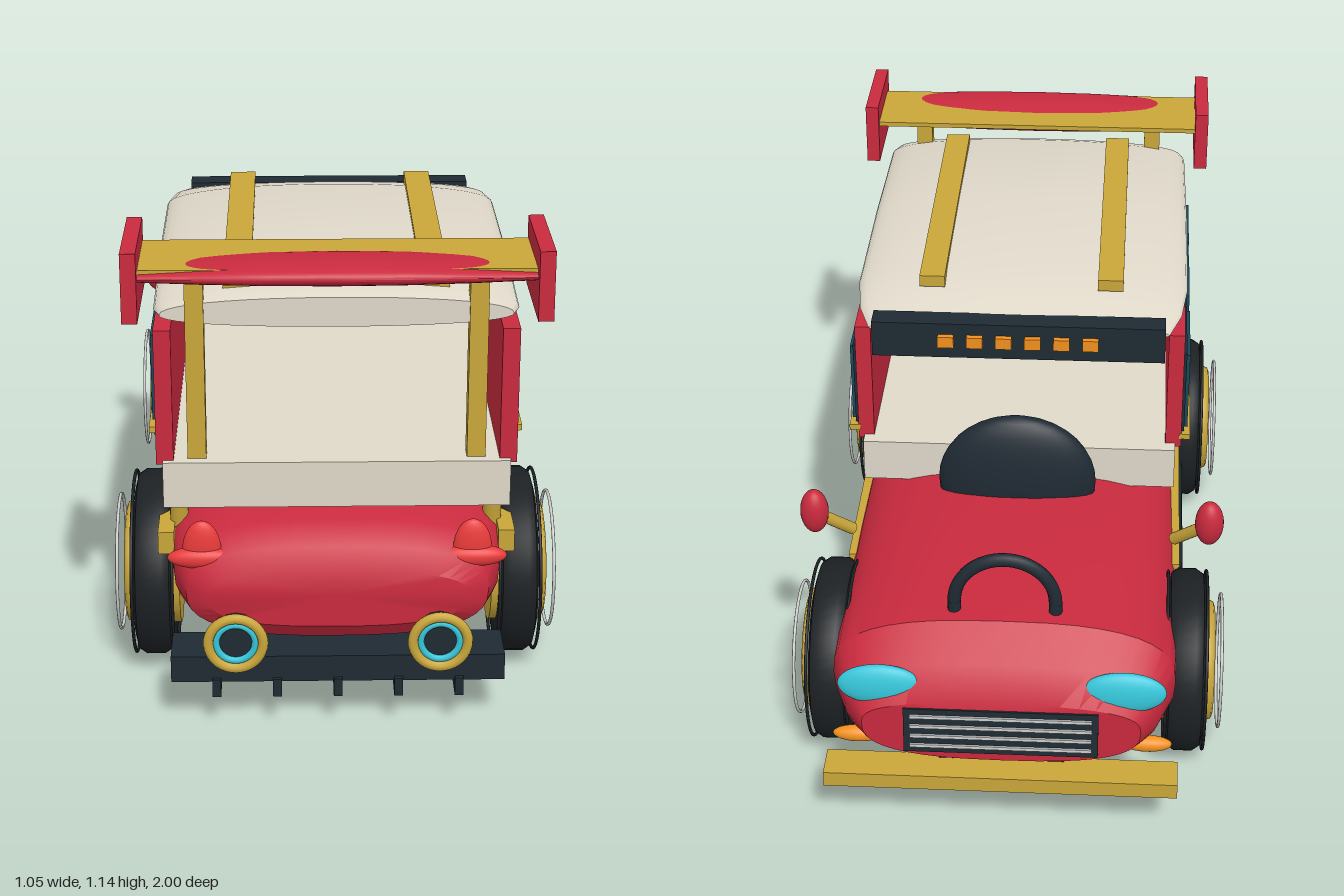
import * as THREE from 'three';
import { toCreasedNormals } from 'three/addons/utils/BufferGeometryUtils.js';

const mat = (color) => new THREE.MeshStandardMaterial({ color });
const RED = mat(0xc92a3e), GOLD = mat(0xc9a63a), DARK = mat(0x1f2a33), CREAM = mat(0xe0d9ca);
const GLASS = mat(0x17485c), CYAN = mat(0x35c5d8), LAMP = mat(0xe83a3a), AMBER = mat(0xf2901e);
const TYRE = mat(0x1d2124), SILVER = mat(0xcccccc);

// Closed loft along z (from high z to low z); each section: [z, halfWidth, yBottom, yMiddle, yTop]
function loft(sections, power, n = 40) {
  const pos = [], idx = [];
  const bend = (v) => Math.sign(v) * Math.abs(v) ** (2 / power);
  for (const [z, w, y0, ym, y1] of sections) {
    for (let j = 0; j < n; j++) {
      const a = (j / n) * Math.PI * 2, s = bend(Math.sin(a));
      pos.push(w * bend(Math.cos(a)), ym + s * (s > 0 ? y1 - ym : ym - y0), z);
    }
  }
  const last = sections.length - 1, c0 = pos.length / 3, c1 = c0 + 1;
  for (const k of [0, last]) pos.push(0, sections[k][3], sections[k][0]);
  for (let j = 0; j < n; j++) {
    const m = (j + 1) % n;
    for (let i = 0; i < last; i++) {
      const a = i * n + j, b = a + n, c = i * n + m, d = c + n;
      idx.push(a, b, c, c, b, d);
    }
    idx.push(c0, j, m, c1, last * n + m, last * n + j);
  }
  const g = new THREE.BufferGeometry();
  g.setAttribute('position', new THREE.Float32BufferAttribute(pos, 3));
  g.setIndex(idx);
  return toCreasedNormals(g, 0.6);
}

function add(parent, name, geometry, material, x = 0, y = 0, z = 0) {
  const m = new THREE.Mesh(geometry, material);
  m.name = name;
  m.position.set(x, y, z);
  parent.add(m);
  return m;
}

// Box given by its limits
function box(parent, name, material, x0, x1, y0, y1, z0, z1) {
  return add(parent, name, new THREE.BoxGeometry(Math.abs(x1 - x0), y1 - y0, Math.abs(z1 - z0)), material,
    (x0 + x1) / 2, (y0 + y1) / 2, (z0 + z1) / 2);
}

function blob(parent, name, material, x, y, z, rx, ry, rz) {
  return add(parent, name, new THREE.SphereGeometry(1, 28, 18).scale(rx, ry, rz), material, x, y, z);
}

function rod(parent, name, material, a, b, r) {
  const p = new THREE.Vector3(...a), q = new THREE.Vector3(...b), d = q.clone().sub(p);
  const m = add(parent, name, new THREE.CylinderGeometry(r, r, d.length(), 16), material);
  m.position.copy(p.add(q).multiplyScalar(0.5));
  m.quaternion.setFromUnitVectors(new THREE.Vector3(0, 1, 0), d.normalize());
  return m;
}

// Wheel with its axle along local z, outer face towards +z
function makeWheel() {
  const w = new THREE.Group();
  w.name = 'wheel';
  const profile = [[0.15, -0.045], [0.19, -0.047], [0.215, -0.04], [0.227, -0.022], [0.227, 0.022],
    [0.215, 0.04], [0.19, 0.047], [0.15, 0.045], [0.15, -0.045]].map(([x, y]) => new THREE.Vector2(x, y));
  add(w, 'tyre', toCreasedNormals(new THREE.LatheGeometry(profile, 48), 0.7).rotateX(Math.PI / 2), TYRE);
  const disc = (name, m, r, z0, z1) => add(w, name,
    new THREE.CylinderGeometry(r, r, z1 - z0, 40).rotateX(Math.PI / 2), m, 0, 0, (z0 + z1) / 2);
  const ring = (name, m, r, t, z) => add(w, name, new THREE.TorusGeometry(r, t, 8, 48), m, 0, 0, z);
  disc('innerRim', GOLD, 0.15, -0.062, 0.02);
  disc('rimBack', DARK, 0.15, 0.02, 0.046);
  ring('rimRing', GOLD, 0.135, 0.015, 0.056);
  ring('trimRing', SILVER, 0.165, 0.004, 0.086);
  ring('sidewallRing', SILVER, 0.172, 0.004, 0.047);
  for (const z of [-0.048, 0.048]) ring('treadEdge', TYRE, 0.222, 0.004, z);
  disc('hub', GOLD, 0.03, 0.04, 0.074);
  for (let i = 0; i < 8; i++) {
    const a = (i * Math.PI) / 4;
    const s = add(w, 'spoke', new THREE.BoxGeometry(0.12, 0.016, 0.018), GOLD,
      Math.cos(a) * 0.075, Math.sin(a) * 0.075, 0.058);
    s.rotation.z = a;
  }
  return w;
}

export function createModel() {
  const car = new THREE.Group();
  car.name = 'car';

  // Body shell, tail (+z) to nose (-z)
  add(car, 'body', loft([
    [0.94, 0.3, 0.24, 0.32, 0.38], [0.91, 0.35, 0.2, 0.32, 0.43], [0.84, 0.38, 0.185, 0.34, 0.465],
    [0.66, 0.4, 0.18, 0.35, 0.5], [0.2, 0.405, 0.18, 0.35, 0.51], [-0.3, 0.41, 0.18, 0.35, 0.53],
    [-0.6, 0.41, 0.18, 0.35, 0.53], [-0.82, 0.41, 0.175, 0.35, 0.515], [-0.9, 0.375, 0.175, 0.33, 0.445],
    [-0.95, 0.33, 0.2, 0.3, 0.37]], 2.7), RED);

  // Deck, roof and rear wing
  box(car, 'deck', CREAM, -0.4, 0.4, 0.498, 0.61, -0.205, 0.84);
  add(car, 'roof', loft([
    [0.81, 0.4, 0.93, 0.96, 1.0], [0.77, 0.415, 0.92, 0.96, 1.015], [0.4, 0.42, 0.92, 0.965, 1.025],
    [0, 0.42, 0.92, 0.965, 1.02], [-0.12, 0.405, 0.925, 0.955, 0.99], [-0.2, 0.375, 0.93, 0.945, 0.965]], 2.2), CREAM);
  box(car, 'wingTop', GOLD, -0.44, 0.44, 1.085, 1.097, 0.685, 0.9);
  const span = [0.44, 0.3, 0.15, 0, -0.15, -0.3, -0.44].map((x) => {
    const k = 1 - (x / 0.44) ** 2;
    return [x, 0.085 + 0.015 * k, -0.018 - 0.012 * k, 0, 0.014 + 0.018 * k];
  });
  const wing = add(car, 'wingBlade', loft(span, 2).rotateY(Math.PI / 2), RED, 0, 1.075, 0.83);
  wing.rotation.x = -0.07;

  // Light bar under the roof front
  box(car, 'lightBar', DARK, -0.365, 0.365, 0.88, 0.975, -0.225, -0.165);
  for (let i = 0; i < 6; i++) {
    const x = -0.18 + i * 0.072;
    box(car, 'barLight', AMBER, x - 0.02, x + 0.02, 0.915, 0.945, -0.24, -0.222);
  }

  // Windscreen dome and arch on the bonnet
  blob(car, 'windscreenDome', DARK, 0, 0.55, -0.265, 0.2, 0.187, 0.06);
  add(car, 'bonnetArch', new THREE.TorusGeometry(0.12, 0.016, 10, 32, Math.PI), DARK, 0, 0.54, -0.775);
  for (const s of [-1, 1]) rod(car, 'archFoot', DARK, [s * 0.12, 0.48, -0.775], [s * 0.12, 0.54, -0.775], 0.016);

  // Nose: grille and bumper
  const grille = new THREE.Group();
  grille.name = 'grille';
  grille.position.set(0, 0.29, -0.95);
  grille.rotation.x = 0.08;
  box(grille, 'grillePanel', DARK, -0.23, 0.23, -0.06, 0.06, -0.01, 0.02);
  for (let i = 0; i < 4; i++) {
    const y = -0.04 + i * 0.027;
    box(grille, 'grilleBar', SILVER, -0.215, 0.215, y - 0.004, y + 0.004, -0.016, -0.006);
  }
  car.add(grille);
  box(car, 'frontBumper', GOLD, -0.42, 0.42, 0.145, 0.185, -1, -0.915);
  box(car, 'bumperMount', DARK, -0.15, 0.15, 0.16, 0.2, -0.93, -0.85);

  // Rear diffuser
  box(car, 'rearBumper', DARK, -0.385, 0.385, 0.12, 0.185, 0.86, 0.98);
  for (let i = -2; i <= 2; i++) box(car, 'diffuserFin', DARK, i * 0.14 - 0.01, i * 0.14 + 0.01, 0.085, 0.13, 0.87, 0.99);

  // Parts mirrored left and right
  for (const s of [-1, 1]) {
    for (const z of [-0.575, 0.57]) {
      const wheel = makeWheel();
      wheel.position.set(s * 0.437, 0.23, z);
      wheel.rotation.y = (s * Math.PI) / 2;
      car.add(wheel);
      rod(car, 'axle', DARK, [s * 0.2, 0.23, z], [s * 0.4, 0.23, z], 0.03);
    }
    box(car, 'sidePanel', RED, s * 0.375, s * 0.415, 0.6, 0.928, -0.17, 0.825);
    for (const z of [-0.043, 0.265, 0.568]) {
      box(car, 'windowFrame', DARK, s * 0.41, s * 0.422, 0.645, 0.873, z - 0.122, z + 0.122);
      box(car, 'window', GLASS, s * 0.41, s * 0.43, 0.653, 0.865, z - 0.114, z + 0.114);
      box(car, 'windowSill', GOLD, s * 0.41, s * 0.438, 0.625, 0.64, z - 0.13, z + 0.13);
    }
    box(car, 'roofRail', GOLD, s * 0.193, s * 0.257, 1.0, 1.03, -0.08, 0.76);
    box(car, 'wingStrut', GOLD, s * 0.3, s * 0.343, 0.6, 1.085, 0.77, 0.815);
    box(car, 'wingEndPlate', RED, s * 0.44, s * 0.475, 0.985, 1.147, 0.67, 0.935);
    box(car, 'sideStrip', GOLD, s * 0.38, s * 0.418, 0.36, 0.415, -0.43, 0.8);
    rod(car, 'deckSupport', GOLD, [s * 0.37, 0.4, 0.72], [s * 0.37, 0.51, 0.735], 0.022);
    rod(car, 'sideTube', DARK, [s * 0.4, 0.2, -0.5], [s * 0.4, 0.2, 0.5], 0.035);

    // Mirrors and lamps
    rod(car, 'mirrorArm', GOLD, [s * 0.4, 0.515, -0.46], [s * 0.48, 0.6, -0.52], 0.015);
    blob(car, 'mirror', RED, s * 0.483, 0.61, -0.525, 0.035, 0.06, 0.032);
    const head = blob(car, 'headlight', CYAN, s * 0.288, 0.39, -0.915, 0.1, 0.052, 0.022);
    head.rotation.x = 0.15;
    blob(car, 'indicator', AMBER, s * 0.345, 0.235, -0.91, 0.06, 0.02, 0.02);
    blob(car, 'tailLight', LAMP, s * 0.312, 0.395, 0.89, 0.08, 0.026, 0.025);
    blob(car, 'tailLightFin', LAMP, s * 0.312, 0.41, 0.885, 0.045, 0.075, 0.02);

    // Exhausts
    const x = s * 0.235, y = 0.222;
    rod(car, 'exhaustPipe', DARK, [x, y, 0.84], [x, y, 0.98], 0.055);
    add(car, 'exhaustRim', new THREE.TorusGeometry(0.063, 0.012, 10, 36), GOLD, x, y, 0.985);
    add(car, 'exhaustGlow', new THREE.TorusGeometry(0.045, 0.008, 10, 36), CYAN, x, y, 0.982);
  }
  return car;
}
